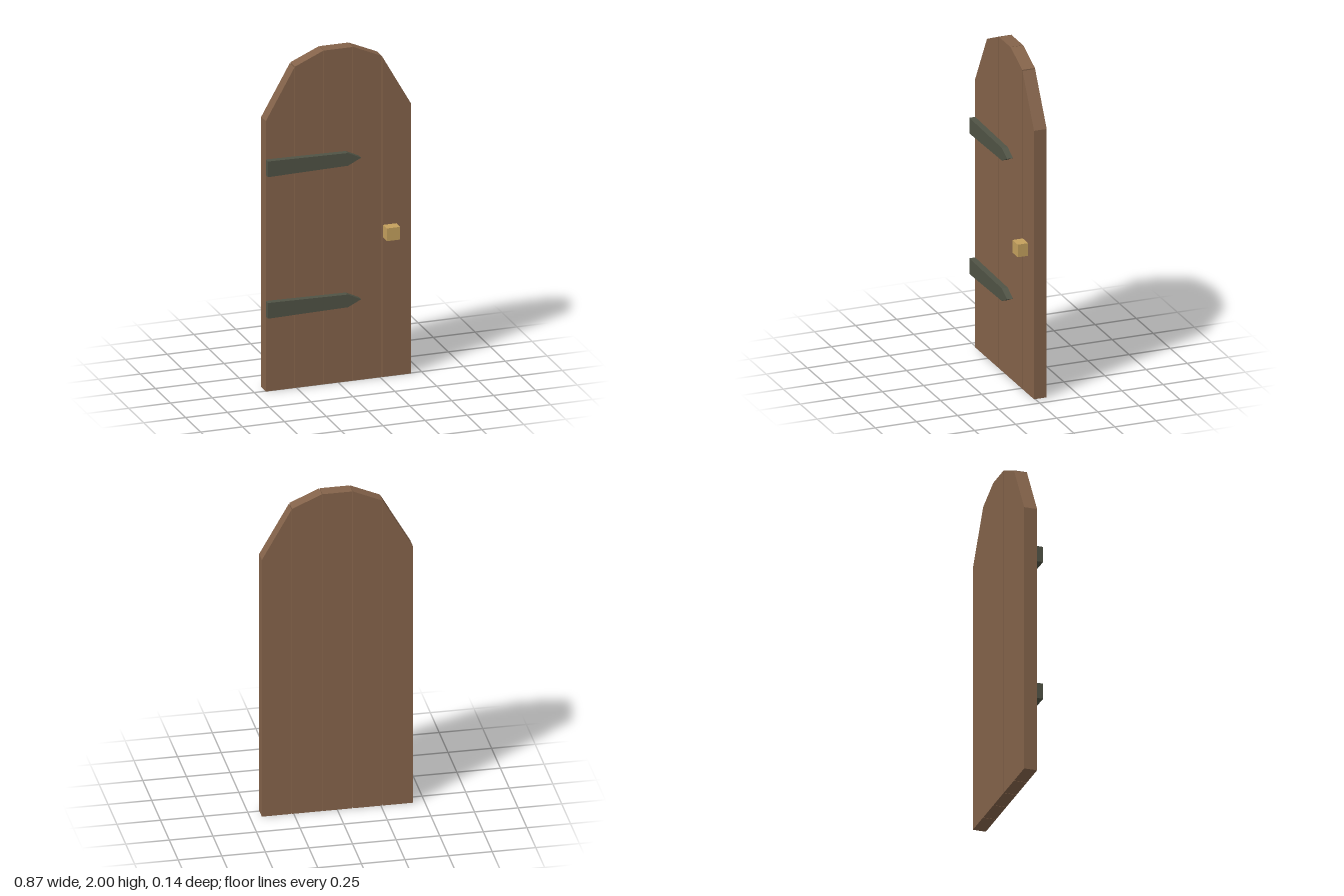
import * as THREE from 'three';

const wood = new THREE.MeshStandardMaterial({ color: 0x84634a });
wood.name = 'brownWood';
const iron = new THREE.MeshStandardMaterial({ color: 0x505345 });
iron.name = 'darkIron';
const brass = new THREE.MeshStandardMaterial({ color: 0xc4a05d });
brass.name = 'brass';

const FRONT = 0.007, BACK = -0.07;

// Flat outline extruded from z0 to z1
function slab(name, points, z0, z1, material) {
  const shape = new THREE.Shape(points.map(([x, y]) => new THREE.Vector2(x, y)));
  const geometry = new THREE.ExtrudeGeometry(shape, { depth: z1 - z0, bevelEnabled: false });
  const mesh = new THREE.Mesh(geometry, material);
  mesh.name = name;
  mesh.position.z = z0;
  return mesh;
}

export function createModel() {
  const door = new THREE.Group();
  door.name = 'archedDoor';

  // Five upright planks, cut to an arch, with narrow gaps
  const tops = [[1.62, 1.92], [1.925, 2], [2, 2], [2, 1.925], [1.92, 1.62]];
  const pitch = 0.1739, half = 0.0853;
  tops.forEach(([yl, yr], i) => {
    const x = (i - 2) * pitch;
    door.add(slab(`plank${i + 1}`,
      [[x - half, 0], [x + half, 0], [x + half, yr], [x - half, yl]], BACK, FRONT, wood));
  });

  // Tapered, pointed hinge straps
  [['lowerHinge', 0.496], ['upperHinge', 1.344]].forEach(([name, y]) => {
    door.add(slab(name, [
      [-0.433, y - 0.047], [0.045, y - 0.038], [0.124, y],
      [0.045, y + 0.038], [-0.433, y + 0.047],
    ], FRONT, 0.043, iron));
  });

  // Square knob
  const knob = new THREE.Mesh(new THREE.BoxGeometry(0.079, 0.076, 0.063), brass);
  knob.name = 'knob';
  knob.position.set(0.307, 0.873, 0.0385);
  door.add(knob);

  return door;
}
